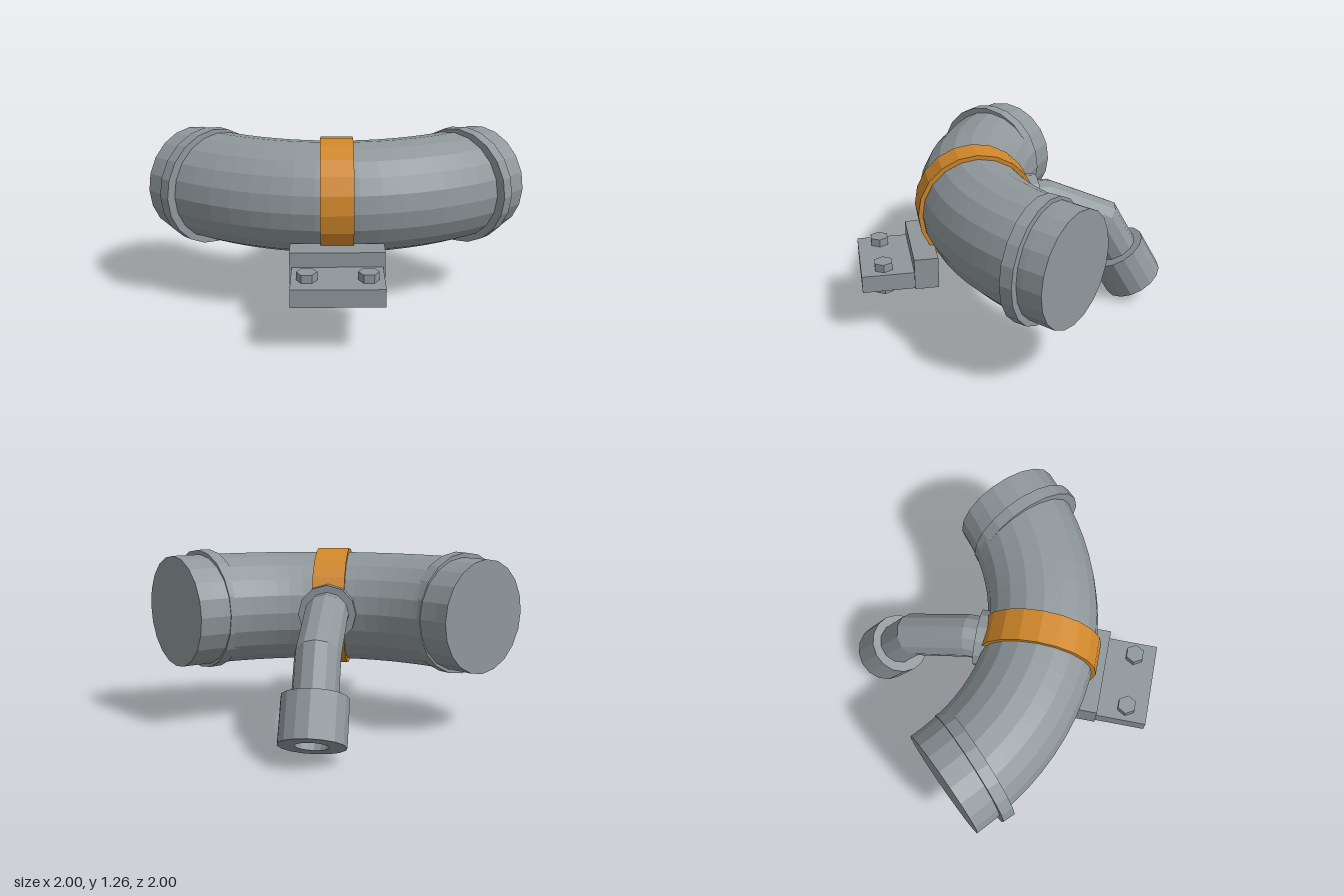
import * as THREE from 'three';

const AXIS_Y = 0.835; // height of the main pipe's centre line

function material(name, color) {
  const m = new THREE.MeshStandardMaterial({ color, flatShading: true });
  m.name = name;
  return m;
}

function addMesh(parent, name, geometry, mat, x = 0, y = 0, z = 0) {
  const mesh = new THREE.Mesh(geometry, mat);
  mesh.name = name;
  mesh.position.set(x, y, z);
  parent.add(mesh);
  return mesh;
}

// Round tube along a polyline of [z, y] points, with mitred corners
function miteredTube(path, radius, sides) {
  const pts = path.map(([z, y]) => new THREE.Vector2(z, y));
  const dirs = pts.slice(1).map((p, i) => p.clone().sub(pts[i]).normalize());
  const position = [], index = [];
  pts.forEach((p, i) => {
    const a = dirs[Math.max(i - 1, 0)], b = dirs[Math.min(i, dirs.length - 1)];
    const t = a.clone().add(b).normalize();
    const stretch = radius / t.dot(a);
    for (let k = 0; k < sides; k++) {
      const ang = (k / sides) * Math.PI * 2;
      const n = Math.sin(ang) * stretch;
      position.push(Math.cos(ang) * radius, p.y - t.x * n, p.x + t.y * n);
      if (i === 0) continue;
      const k2 = (k + 1) % sides, r0 = (i - 1) * sides, r1 = i * sides;
      index.push(r0 + k, r0 + k2, r1 + k, r0 + k2, r1 + k2, r1 + k);
    }
  });
  const g = new THREE.BufferGeometry();
  g.setAttribute('position', new THREE.Float32BufferAttribute(position, 3));
  g.setIndex(index);
  g.computeVertexNormals();
  return g;
}

export function createModel() {
  const model = new THREE.Group();
  model.name = 'pipeElbow';
  const steel = material('steel grey', 0x8f979b);
  const steelOpen = material('steel grey', 0x8f979b);
  steelOpen.side = THREE.DoubleSide;
  const orange = material('clamp orange', 0xd0872a);

  // Main bent pipe with closed ends
  const v = (x, z) => new THREE.Vector3(x, AXIS_Y, z);
  const bend = new THREE.CubicBezierCurve3(
    v(-0.565, -0.985), v(-0.531, -0.09), v(0.09, 0.531), v(0.985, 0.565));
  addMesh(model, 'mainPipe', new THREE.TubeGeometry(bend, 20, 0.4, 20), steel);
  for (const t of [0, 1]) {
    const p = bend.getPoint(t), out = bend.getTangent(t).multiplyScalar(t ? 1 : -1);
    const cap = addMesh(model, 'pipeEndCap', new THREE.CircleGeometry(0.4, 20), steel, p.x, p.y, p.z);
    cap.lookAt(p.clone().add(out));
  }

  // Raised bands near both ends
  const band = new THREE.CylinderGeometry(0.432, 0.432, 0.09, 20);
  addMesh(model, 'backBand', band, steel, -0.567, AXIS_Y, -0.74).rotation.x = Math.PI / 2;
  addMesh(model, 'leftBand', band, steel, 0.735, AXIS_Y, 0.567).rotation.z = Math.PI / 2;

  // Everything on the diagonal: local +z points to the outside of the bend
  const diagonal = new THREE.Group();
  diagonal.name = 'diagonalFittings';
  diagonal.rotation.y = -Math.PI / 4;
  model.add(diagonal);

  // Orange clamp around the middle of the bend
  addMesh(diagonal, 'clamp', new THREE.CylinderGeometry(0.43, 0.43, 0.23, 20), orange,
    0, AXIS_Y, 0.157).rotation.z = Math.PI / 2;

  // Mounting bracket with two hex bolts
  const bracket = new THREE.Group();
  bracket.name = 'bracket';
  diagonal.add(bracket);
  addMesh(bracket, 'bracketBlock', new THREE.BoxGeometry(0.65, 0.23, 0.17), steel, 0, 0.485, 0.565);
  addMesh(bracket, 'bracketPlate', new THREE.BoxGeometry(0.62, 0.125, 0.4), steel, 0, 0.4325, 0.818);
  for (const side of [-1, 1]) {
    addMesh(bracket, 'bolt', new THREE.CylinderGeometry(0.07, 0.07, 0.23, 6), steel,
      side * 0.203, 0.438, 0.858).rotation.y = Math.PI / 6;
  }

  // Branch pipe on the inside of the bend
  addMesh(diagonal, 'branchFlange', new THREE.CylinderGeometry(0.205, 0.205, 0.1, 12), steel,
    0, AXIS_Y, -0.24).rotation.x = Math.PI / 2;
  addMesh(diagonal, 'branchPipe', miteredTube(
    [[-0.2, 0.835], [-0.36, 0.835], [-0.79, 0.645], [-0.96, 0.35]], 0.155, 12), steelOpen);

  // Collar with a recessed opening
  const profile = [[0, 0.08], [0.112, 0.08], [0.112, 0], [0.225, 0], [0.225, 0.32], [0, 0.32]]
    .map(([x, y]) => new THREE.Vector2(x, y));
  addMesh(diagonal, 'branchCollar', new THREE.LatheGeometry(profile, 16), steel,
    0, 0.115, -1.085).rotation.x = Math.PI / 6;

  return model;
}
